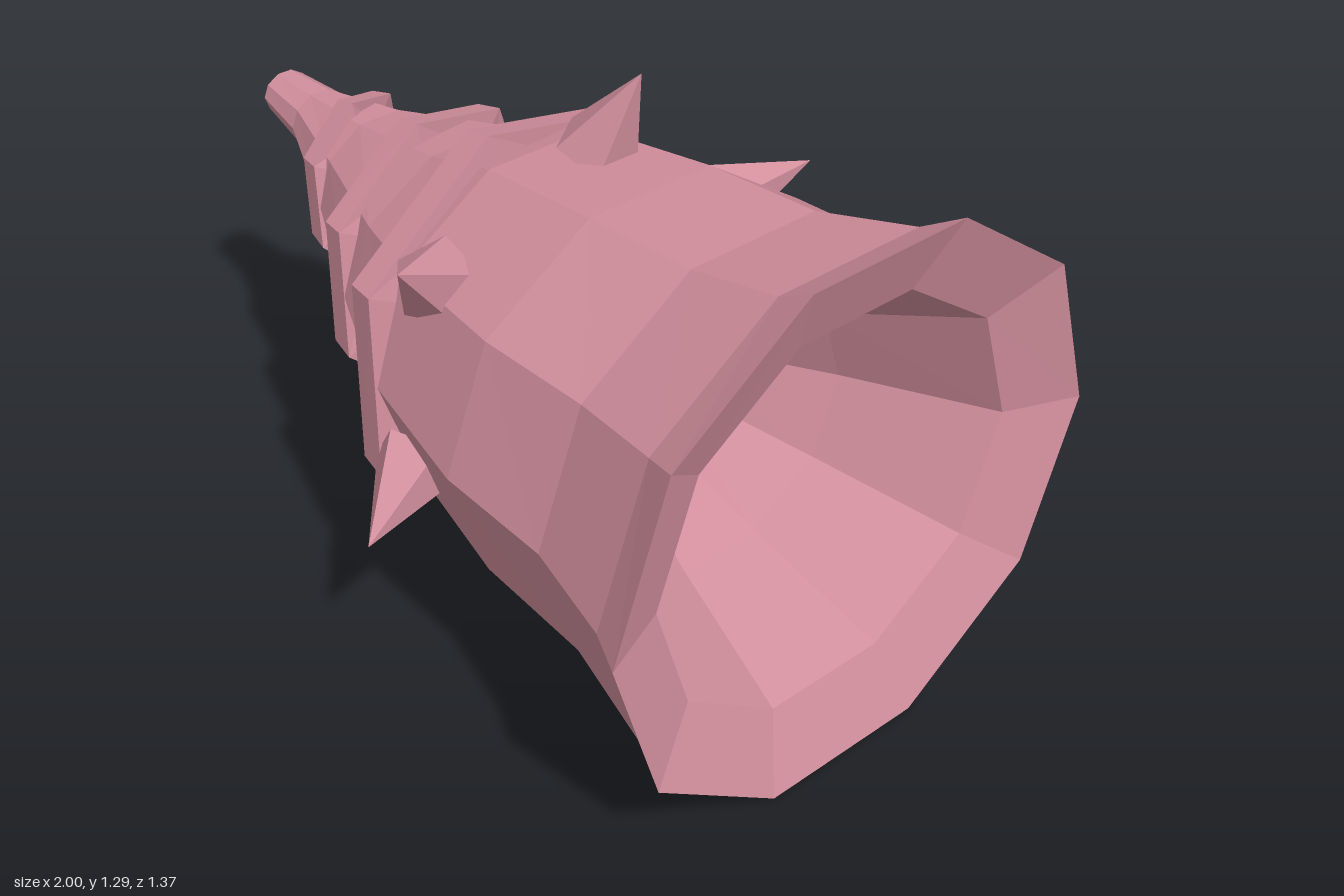
import * as THREE from 'three';

const pink = new THREE.MeshStandardMaterial({ color: 0xd28f9d, flatShading: true });
pink.name = 'dusty pink';

// Horn cross-sections from the narrow tip to the rim: x, centre y, radius y, radius z
const OUTER = [
  [-1, 0.828, 0.055, 0.065],
  [-0.85, 0.808, 0.076, 0.085],
  [-0.6, 0.737, 0.181, 0.188],
  [-0.25, 0.689, 0.313, 0.365],
  [0, 0.66, 0.431, 0.48],
  [0.35, 0.637, 0.499, 0.555],
  [0.65, 0.629, 0.527, 0.565],
  [0.9, 0.628, 0.597, 0.635],
  [1, 0.628, 0.659, 0.685],
];
// Sloped lip and hollow, running back into the horn
const INNER = [
  [0.93, 0.628, 0.478, 0.51],
  [0.6, 0.625, 0.325, 0.35],
  [0.25, 0.628, 0.14, 0.148],
];

// Centre and radii of the outer wall at any x
function wallAt(x) {
  let i = 0;
  while (i < OUTER.length - 2 && x > OUTER[i + 1][0]) i++;
  const a = OUTER[i], b = OUTER[i + 1];
  const t = (x - a[0]) / (b[0] - a[0]);
  return a.map((v, k) => v + (b[k] - v) * t);
}

// Joins closed cross-sections with equal point counts, capping both ends
function loft(sections) {
  const pos = [];
  const tri = (...pts) => pts.forEach((p) => pos.push(...p));
  const n = sections[0].length;
  for (let i = 0; i < sections.length - 1; i++) {
    for (let j = 0; j < n; j++) {
      const k = (j + 1) % n;
      const a = sections[i][j], b = sections[i][k];
      const c = sections[i + 1][j], d = sections[i + 1][k];
      tri(a, c, b);
      tri(b, c, d);
    }
  }
  const first = sections[0], last = sections[sections.length - 1];
  for (let j = 1; j < n - 1; j++) {
    tri(first[0], first[j], first[j + 1]);
    tri(last[0], last[j + 1], last[j]);
  }
  const g = new THREE.BufferGeometry();
  g.setAttribute('position', new THREE.Float32BufferAttribute(pos, 3));
  g.computeVertexNormals();
  return g;
}

function addMesh(parent, name, geometry) {
  const mesh = new THREE.Mesh(geometry, pink);
  mesh.name = name;
  parent.add(mesh);
  return mesh;
}

export function createModel() {
  const model = new THREE.Group();
  model.name = 'spikedHorn';

  // Ten-sided hollow body
  const body = [...OUTER, ...INNER].map(([x, cy, ry, rz]) =>
    Array.from({ length: 10 }, (_, j) => {
      const a = (j * Math.PI) / 5;
      return [x, cy + ry * Math.sin(a), rz * Math.cos(a)];
    }));
  addMesh(model, 'hornBody', loft(body));

  // Raised ridge winding three turns, seven segments each
  const STEPS = 21;
  const ridge = [];
  for (let i = 0; i <= STEPS; i++) {
    const t = i / STEPS;
    const a = Math.PI - (i * 2 * Math.PI) / 7;
    const x = -0.77 + 0.9 * t;
    const [, cy, ry, rz] = wallAt(x);
    const half = 0.03 + 0.012 * t;
    const lift = 0.025 + 0.05 * t;
    const point = (dx, up) =>
      [x + dx, cy + (ry + up) * Math.sin(a), (rz + up) * Math.cos(a)];
    ridge.push([
      point(-half * 1.3, -0.05),
      point(-half, lift - 0.008),
      point(half, lift + 0.008),
      point(half * 1.3, -0.05),
    ]);
  }
  addMesh(model, 'spiralRidge', loft(ridge));

  // Ring of six five-sided spikes leaning toward the rim
  const spikes = new THREE.Group();
  spikes.name = 'spikes';
  model.add(spikes);
  for (let i = 0; i < 6; i++) {
    const a = THREE.MathUtils.degToRad(98.6 - i * 60);
    const s = Math.sin(a), c = Math.cos(a);
    const base = new THREE.Vector3(0.1, 0.655 + 0.43 * s, 0.48 * c);
    const tip = new THREE.Vector3(0.2, 0.655 + 0.645 * s, 0.705 * c);
    const up = tip.clone().sub(base);
    const height = up.length();
    up.normalize();
    const side = new THREE.Vector3(1, 0, 0).cross(up).normalize();
    const along = up.clone().cross(side);
    const cone = new THREE.ConeGeometry(0.1, height, 5, 1, false, -Math.PI / 2);
    cone.translate(0, height / 2, 0);
    const spike = addMesh(spikes, 'spike', cone);
    spike.quaternion.setFromRotationMatrix(new THREE.Matrix4().makeBasis(along, up, side));
    spike.position.copy(base);
  }

  return model;
}
